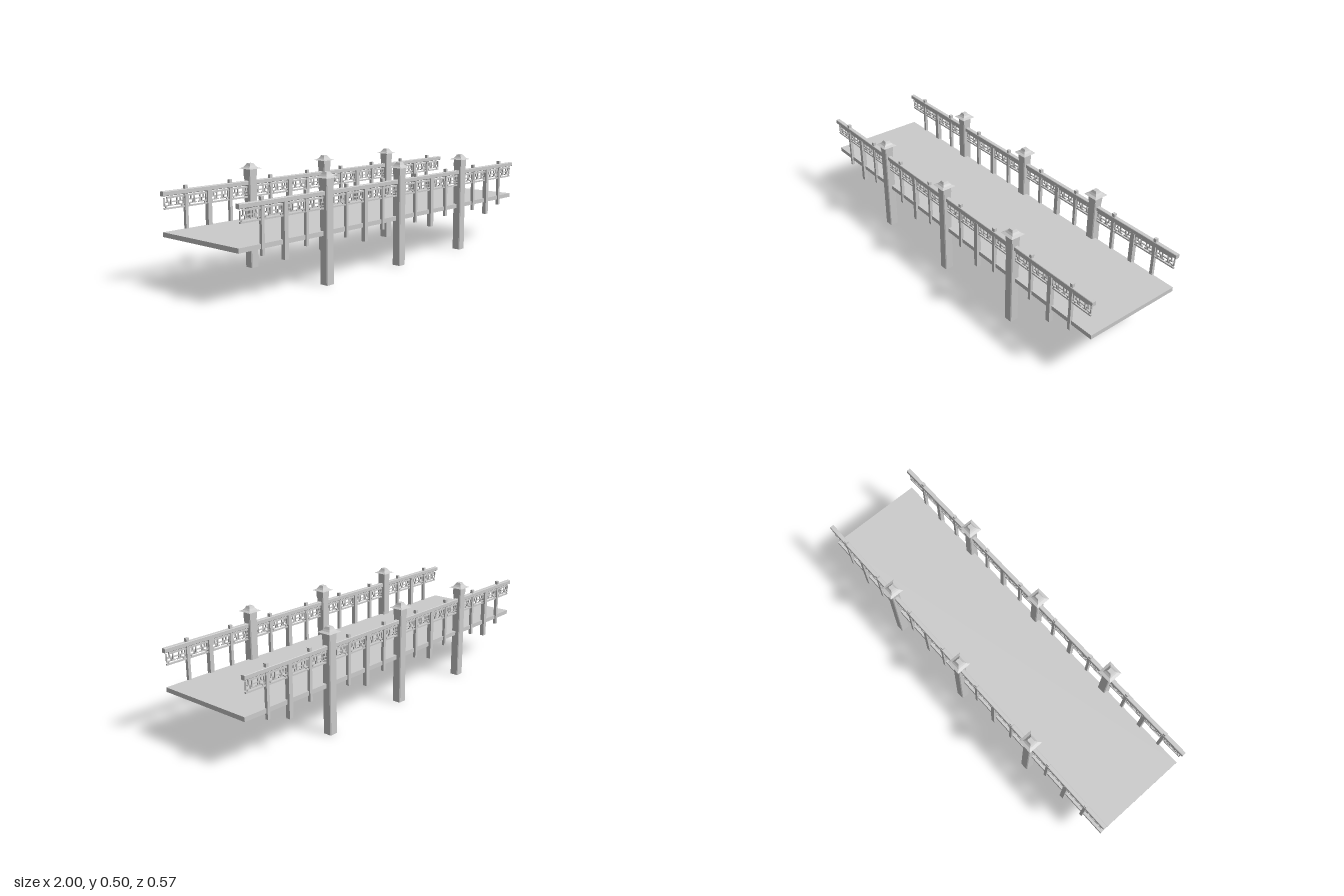
import * as THREE from 'three';

const material = new THREE.MeshStandardMaterial({ color: 0xcccccc, flatShading: true });

function add(parent, name, geometry, x = 0, y = 0, z = 0) {
  const mesh = new THREE.Mesh(geometry, material);
  mesh.name = name;
  mesh.position.set(x, y, z);
  parent.add(mesh);
  return mesh;
}

// Square bar with chamfered edges, extruded along +z from the origin
function chamferedBar(width, chamfer, length) {
  const h = width / 2, c = h - chamfer;
  const corners = [[c, -h], [h, -c], [h, c], [c, h], [-c, h], [-h, c], [-h, -c], [-c, -h]];
  const shape = new THREE.Shape(corners.map(([x, y]) => new THREE.Vector2(x, y)));
  return new THREE.ExtrudeGeometry(shape, { depth: length, bevelEnabled: false });
}

// Tall column with a square head and a flared roof cap
function createColumn() {
  const column = new THREE.Group();
  column.name = 'column';
  add(column, 'columnShaft', chamferedBar(0.045, 0.004, 0.44).rotateX(-Math.PI / 2));
  add(column, 'columnHead', new THREE.BoxGeometry(0.045, 0.036, 0.045), 0, 0.458, 0);
  const profile = [[0, 0.475], [0.0375, 0.475], [0.024, 0.481], [0.017, 0.489], [0.011, 0.5], [0, 0.5]]
    .map(([halfWidth, y]) => new THREE.Vector2(halfWidth * Math.SQRT2, y));
  const cap = new THREE.LatheGeometry(profile, 4).rotateY(Math.PI / 4);
  add(column, 'columnCap', cap);
  return column;
}

// Fretwork bars of one half bay: [u0, v0, u1, v1] from the bay centre
const fretBars = [
  [0, 0.369, 0.016, 0.369],
  [0.016, 0.354, 0.016, 0.387],
  [0.007, 0.354, 0.025, 0.354],
  [0.025, 0.369, 0.025, 0.354],
  [0.025, 0.369, 0.039, 0.369],
  [0.034, 0.369, 0.034, 0.387],
  [0.034, 0.354, 0.050, 0.354],
  [0.050, 0.354, 0.050, 0.387],
  [0.042, 0.354, 0.042, 0.341],
];

function createFret() {
  const fret = new THREE.Group();
  fret.name = 'fretPanel';
  const t = 0.005;
  for (const side of [-1, 1]) {
    for (const [u0, v0, u1, v1] of fretBars) {
      const bar = new THREE.BoxGeometry(Math.abs(u1 - u0) + t, Math.abs(v1 - v0) + t, 0.006);
      add(fret, 'fretBar', bar, side * (u0 + u1) / 2, (v0 + v1) / 2, 0);
    }
  }
  return fret;
}

// One full railing, running along x
function createRailing() {
  const railing = new THREE.Group();
  railing.name = 'railing';

  // Handrail and the thin rails that hold the fretwork
  add(railing, 'handrail', chamferedBar(0.021, 0.002, 2).rotateY(Math.PI / 2), -1, 0.408, 0);
  add(railing, 'upperFretRail', new THREE.BoxGeometry(1.95, 0.008, 0.007), 0, 0.389, 0);
  add(railing, 'lowerFretRail', new THREE.BoxGeometry(1.98, 0.007, 0.008), 0, 0.3415, 0);

  // Columns
  for (const x of [-0.5, 0, 0.5]) {
    const column = createColumn();
    column.position.x = x;
    railing.add(column);
  }

  // Wide hanging posts stop under the handrail
  for (const x of [-0.75, -0.25, 0.25, 0.75]) {
    add(railing, 'widePost', new THREE.BoxGeometry(0.022, 0.245, 0.022), x, 0.2775, 0);
  }

  // Slim posts poke through the handrail; one fret panel fills each bay
  for (let i = 0; i < 8; i++) {
    const x = -0.875 + i * 0.25;
    add(railing, 'slimPost', new THREE.BoxGeometry(0.015, 0.243, 0.015), x, 0.3135, 0);
    for (const side of [-1, 1]) {
      const fret = createFret();
      fret.position.x = x + side * 0.0625;
      railing.add(fret);
    }
  }
  return railing;
}

export function createModel() {
  const bridge = new THREE.Group();
  bridge.name = 'footbridge';
  add(bridge, 'deck', new THREE.BoxGeometry(2, 0.021, 0.5), 0, 0.2305, 0);
  for (const side of [1, -1]) {
    const railing = createRailing();
    railing.position.z = side * 0.25;
    if (side < 0) railing.rotation.y = Math.PI;
    bridge.add(railing);
  }
  return bridge;
}
